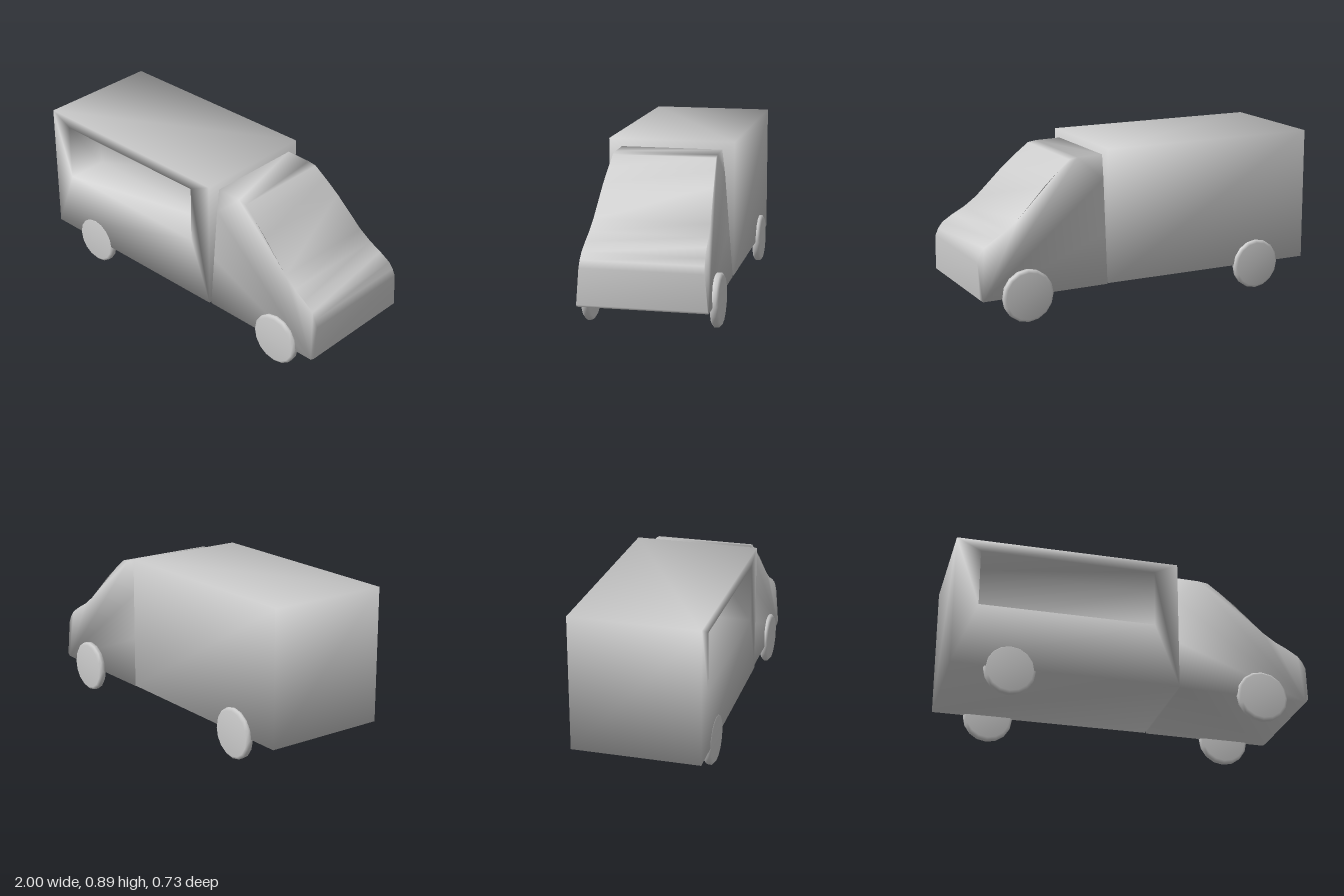
import * as THREE from 'three';
import { mergeVertices } from 'three/addons/utils/BufferGeometryUtils.js';

const material = new THREE.MeshStandardMaterial({ color: 0xcccccc });

// Share corners between faces so the shading blends across every edge
function smooth(geometry) {
  geometry.deleteAttribute('normal');
  geometry.deleteAttribute('uv');
  const merged = mergeVertices(geometry, 1e-4);
  merged.computeVertexNormals();
  return merged;
}

function addPart(parent, name, geometry) {
  const mesh = new THREE.Mesh(geometry, material);
  mesh.name = name;
  parent.add(mesh);
  return mesh;
}

// Cargo box with a serving hatch recessed into its +z side
function cargoBoxGeometry() {
  const points = [];
  const addRect = (x0, x1, y0, y1, z) => {
    for (const y of [y0, y1]) for (const x of [x0, x1]) points.push(x, y, z);
  };
  addRect(-1, 0.25, 0.15, 0.895, -0.34); // 0-3 far side
  addRect(-1, 0.25, 0.15, 0.895, 0.36); // 4-7 hatch side
  addRect(-0.865, 0.115, 0.505, 0.83, 0.36); // 8-11 hatch opening
  addRect(-0.865, 0.115, 0.505, 0.83, 0.13); // 12-15 back of the recess
  const quads = [
    [1, 0, 2, 3], [5, 1, 3, 7], [0, 4, 6, 2], [6, 7, 3, 2], [0, 1, 5, 4], // shell
    [4, 5, 9, 8], [5, 7, 11, 9], [7, 6, 10, 11], [6, 4, 8, 10], // hatch surround
    [8, 9, 13, 12], [9, 11, 15, 13], [11, 10, 14, 15], [10, 8, 12, 14], // recess walls
    [12, 13, 15, 14],
  ];
  const geometry = new THREE.BufferGeometry();
  geometry.setAttribute('position', new THREE.Float32BufferAttribute(points, 3));
  geometry.setIndex(quads.flatMap(([a, b, c, d]) => [a, b, c, a, c, d]));
  geometry.computeVertexNormals();
  return geometry;
}

// Cab: side profile extruded across, narrowing towards the roof
function cabGeometry() {
  const profile = [
    [0.255, 0.145], [0.98, 0.14], [0.998, 0.155], [1, 0.35], [0.985, 0.39], [0.96, 0.425],
    [0.9, 0.465], [0.83, 0.503], [0.76, 0.555], [0.6, 0.715], [0.52, 0.785], [0.45, 0.842],
    [0.4, 0.85], [0.255, 0.853], [0.255, 0.72], [0.255, 0.43],
  ];
  const shape = new THREE.Shape(profile.map(([x, y]) => new THREE.Vector2(x, y)));
  const geometry = new THREE.ExtrudeGeometry(shape, { depth: 1, steps: 1, bevelEnabled: false });
  const pos = geometry.attributes.position;
  for (let i = 0; i < pos.count; i++) {
    const y = pos.getY(i);
    const halfWidth = y < 0.72
      ? THREE.MathUtils.mapLinear(y, 0.14, 0.72, 0.343, 0.296)
      : THREE.MathUtils.mapLinear(y, 0.72, 0.853, 0.296, 0.28);
    pos.setZ(i, 0.007 + (pos.getZ(i) > 0.5 ? halfWidth : -halfWidth));
  }
  return smooth(geometry);
}

// Wheel: solid disc with chamfered rims, axle along z
function wheelGeometry(radius) {
  const profile = [
    [0, -0.023], [radius - 0.015, -0.023], [radius, -0.011],
    [radius, 0.011], [radius - 0.015, 0.023], [0, 0.023],
  ].map(([r, y]) => new THREE.Vector2(r, y));
  return smooth(new THREE.LatheGeometry(profile, 16).rotateX(Math.PI / 2));
}

export function createModel() {
  const model = new THREE.Group();
  model.name = 'foodTruck';

  addPart(model, 'cargoBox', cargoBoxGeometry());
  addPart(model, 'cab', cabGeometry());

  const axles = [
    { name: 'rearWheel', x: -0.682, y: 0.146, radius: 0.14 },
    { name: 'frontWheel', x: 0.728, y: 0.145, radius: 0.144 },
  ];
  for (const { name, x, y, radius } of axles) {
    const geometry = wheelGeometry(radius);
    for (const side of [-1, 1]) {
      addPart(model, name + (side > 0 ? 'HatchSide' : 'FarSide'), geometry)
        .position.set(x, y, side * 0.341);
    }
  }
  return model;
}
